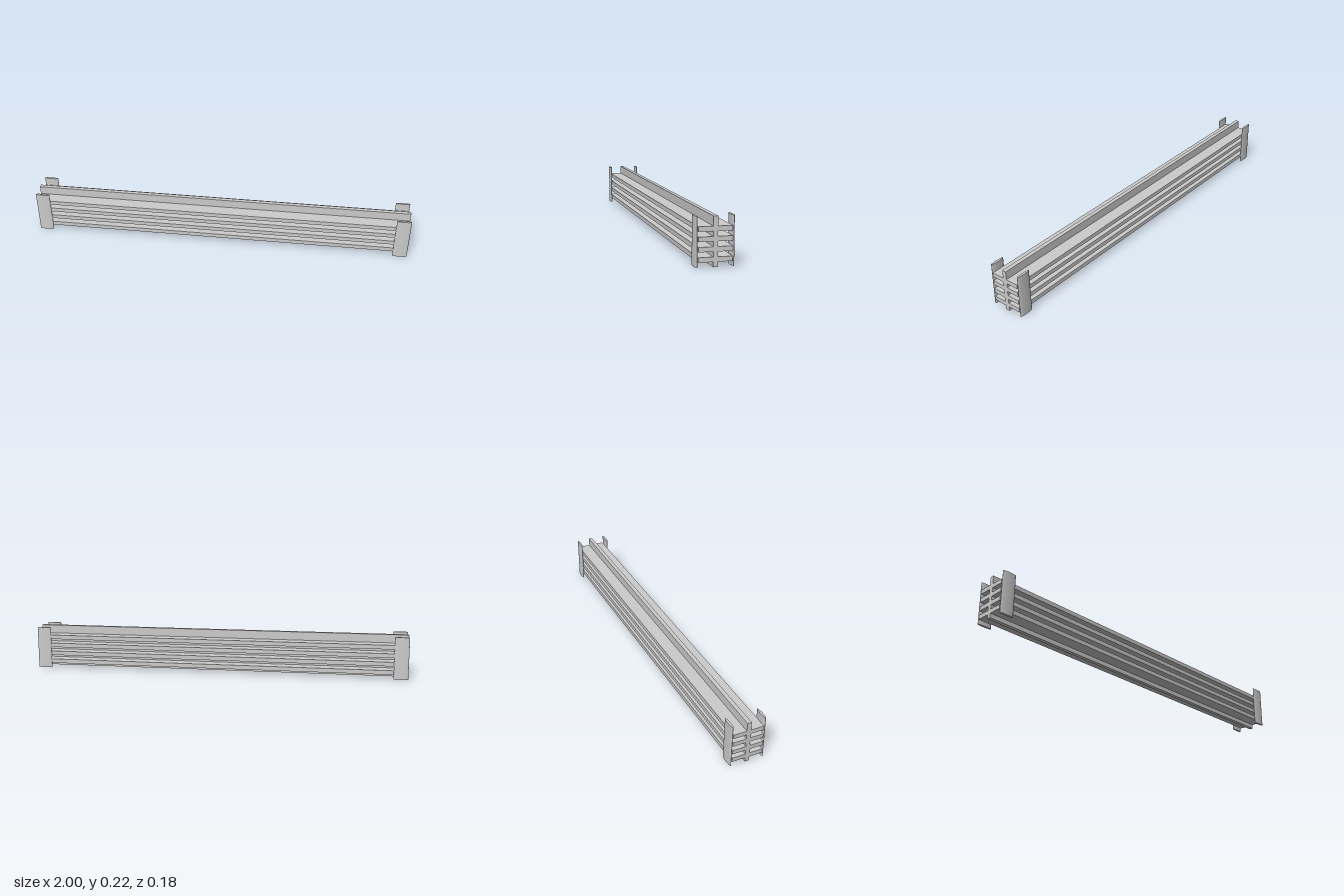
import * as THREE from 'three';

export function createModel() {
  const model = new THREE.Group();
  model.name = 'slattedBeam';
  const material = new THREE.MeshStandardMaterial({ color: 0xcccccc });
  const height = 0.223;

  function add(name, geometry, x, y, z) {
    const mesh = new THREE.Mesh(geometry, material);
    mesh.name = name;
    mesh.position.set(x, y, z);
    model.add(mesh);
    return mesh;
  }

  // Upright centre board running the full length
  add('centreBoard', new THREE.BoxGeometry(2, height, 0.021), 0, height / 2, 0);

  // Four evenly spaced horizontal slats crossing the board
  for (let i = 0; i < 4; i++) {
    add(`slat${i + 1}`, new THREE.BoxGeometry(2, 0.022, 0.155), 0, 0.034 + i * 0.0447, 0);
  }

  // Flattened oval posts at the four corners
  const postGeometry = new THREE.CylinderGeometry(1, 1, height, 48);
  for (const x of [-1, 1]) {
    for (const z of [-1, 1]) {
      const name = (z > 0 ? 'front' : 'back') + (x > 0 ? 'Left' : 'Right') + 'Post';
      add(name, postGeometry, x * 0.9625, height / 2, z * 0.0828).scale.set(0.0375, 1, 0.0063);
    }
  }

  return model;
}
